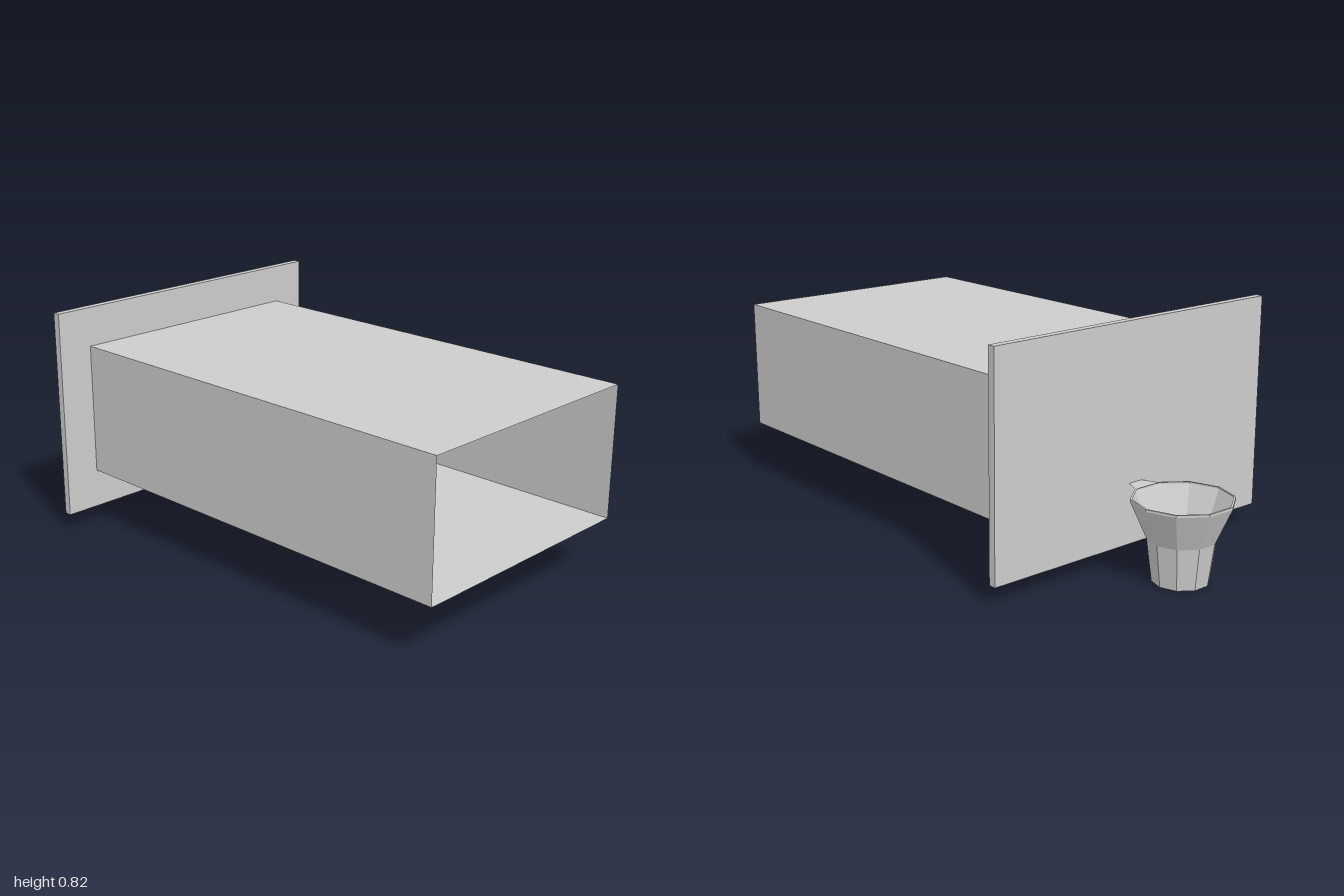
import * as THREE from 'three';

const grey = new THREE.MeshStandardMaterial({ color: 0xcccccc, side: THREE.DoubleSide });
grey.name = 'light grey';

function addPart(group, name, geometry, x = 0, y = 0, z = 0) {
  const mesh = new THREE.Mesh(geometry, grey);
  mesh.name = name;
  mesh.position.set(x, y, z);
  group.add(mesh);
  return mesh;
}

// Separate the faces so that each keeps its own flat normal
function faceted(geometry) {
  const flat = geometry.toNonIndexed();
  flat.computeVertexNormals();
  return flat;
}

export function createModel() {
  const model = new THREE.Group();
  model.name = 'wallSleeveWithCup';

  // Wall plate
  addPart(model, 'wallPlate', new THREE.BoxGeometry(0.027, 0.758, 1.195), -0.611, 0.445, 0);

  // Thin-walled rectangular sleeve, open at its outer end
  const length = 1.597, height = 0.476, depth = 0.935;
  const sleeve = new THREE.Group();
  sleeve.name = 'sleeve';
  sleeve.position.set(0.2, 0.444, 0);
  for (const side of [1, -1]) {
    const flat = new THREE.PlaneGeometry(length, depth).rotateX(-side * Math.PI / 2);
    addPart(sleeve, side > 0 ? 'sleeveTop' : 'sleeveBottom', flat, 0, side * height / 2, 0);
    const wall = new THREE.PlaneGeometry(length, height);
    if (side < 0) wall.rotateY(Math.PI);
    addPart(sleeve, side > 0 ? 'sleeveFront' : 'sleeveBack', wall, 0, 0, side * depth / 2);
  }
  model.add(sleeve);

  // Ten-sided bottomless cup with a small lip
  const profile = [[0.095, 0], [0.114, 0.145], [0.17, 0.272], [0.17, 0.28], [0.163, 0.28]]
    .map(([r, y]) => new THREE.Vector2(r, y));
  addPart(model, 'cup', faceted(new THREE.LatheGeometry(profile, 10)), -0.838, 0, 0);

  // Flat tapered tab joining the cup rim to the plate
  const tab = new THREE.Shape([
    new THREE.Vector2(-0.676, -0.052), new THREE.Vector2(-0.622, -0.028),
    new THREE.Vector2(-0.622, 0.028), new THREE.Vector2(-0.676, 0.052),
  ]);
  addPart(model, 'cupTab', new THREE.ShapeGeometry(tab).rotateX(-Math.PI / 2), 0, 0.279, 0);

  return model;
}
